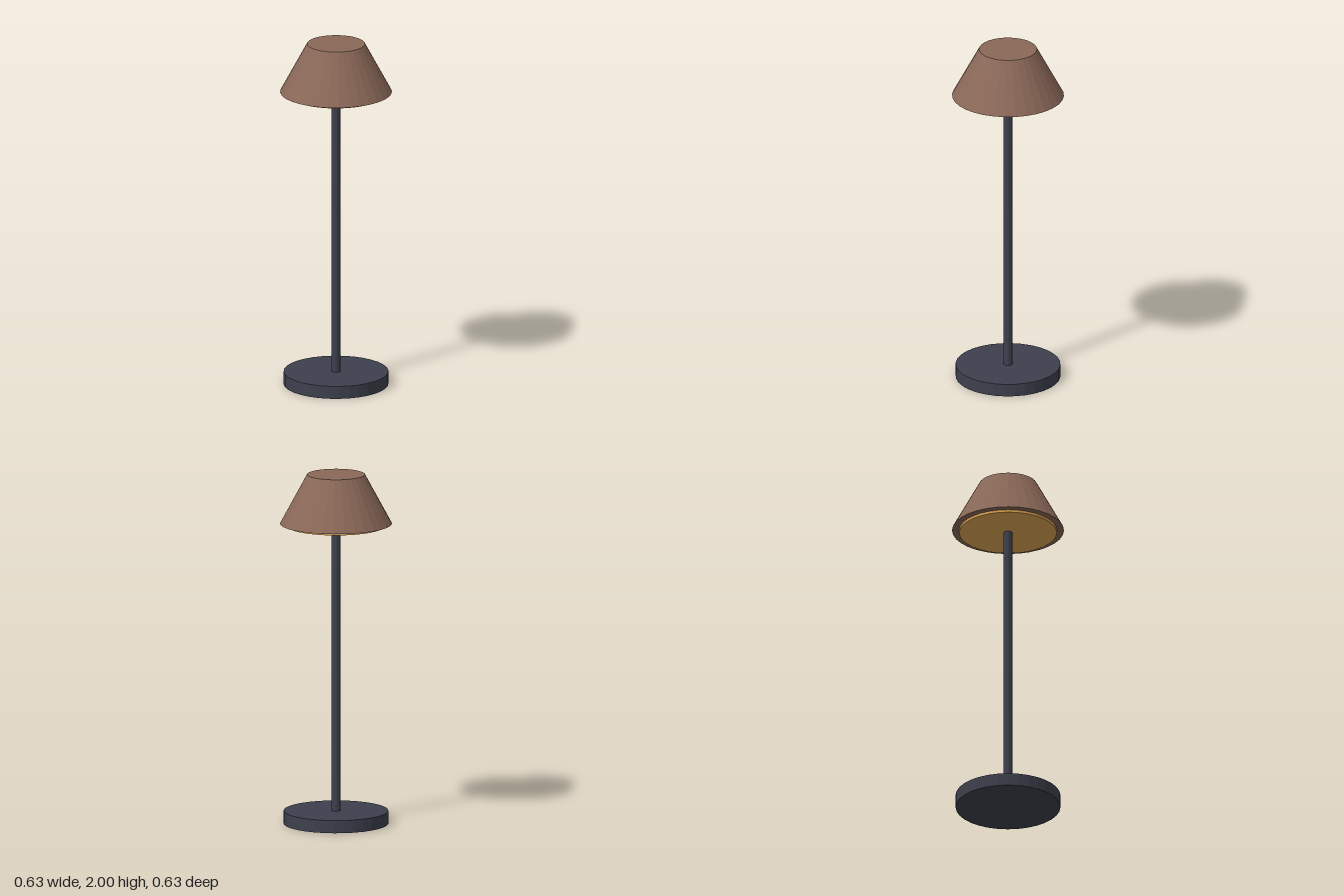
import * as THREE from 'three';

export function createModel() {
  const group = new THREE.Group();
  group.name = 'tableLamp';

  const material = (color) => new THREE.MeshStandardMaterial({ color, flatShading: true });
  const dark = material(0x3d404d);
  const brown = material(0x8a6858);
  const amber = material(0xdfa654);

  // Upright round part spanning y0..y1
  function round(name, rTop, rBottom, y0, y1, sides, mat) {
    const mesh = new THREE.Mesh(new THREE.CylinderGeometry(rTop, rBottom, y1 - y0, sides), mat);
    mesh.name = name;
    mesh.position.y = (y0 + y1) / 2;
    group.add(mesh);
  }

  round('base', 0.295, 0.295, 0, 0.073, 32, dark);
  round('stem', 0.025, 0.025, 0.073, 1.72, 16, dark);
  round('diffuser', 0.275, 0.275, 1.703, 1.73, 32, amber);
  round('shade', 0.163, 0.315, 1.718, 2, 32, brown);

  return group;
}
